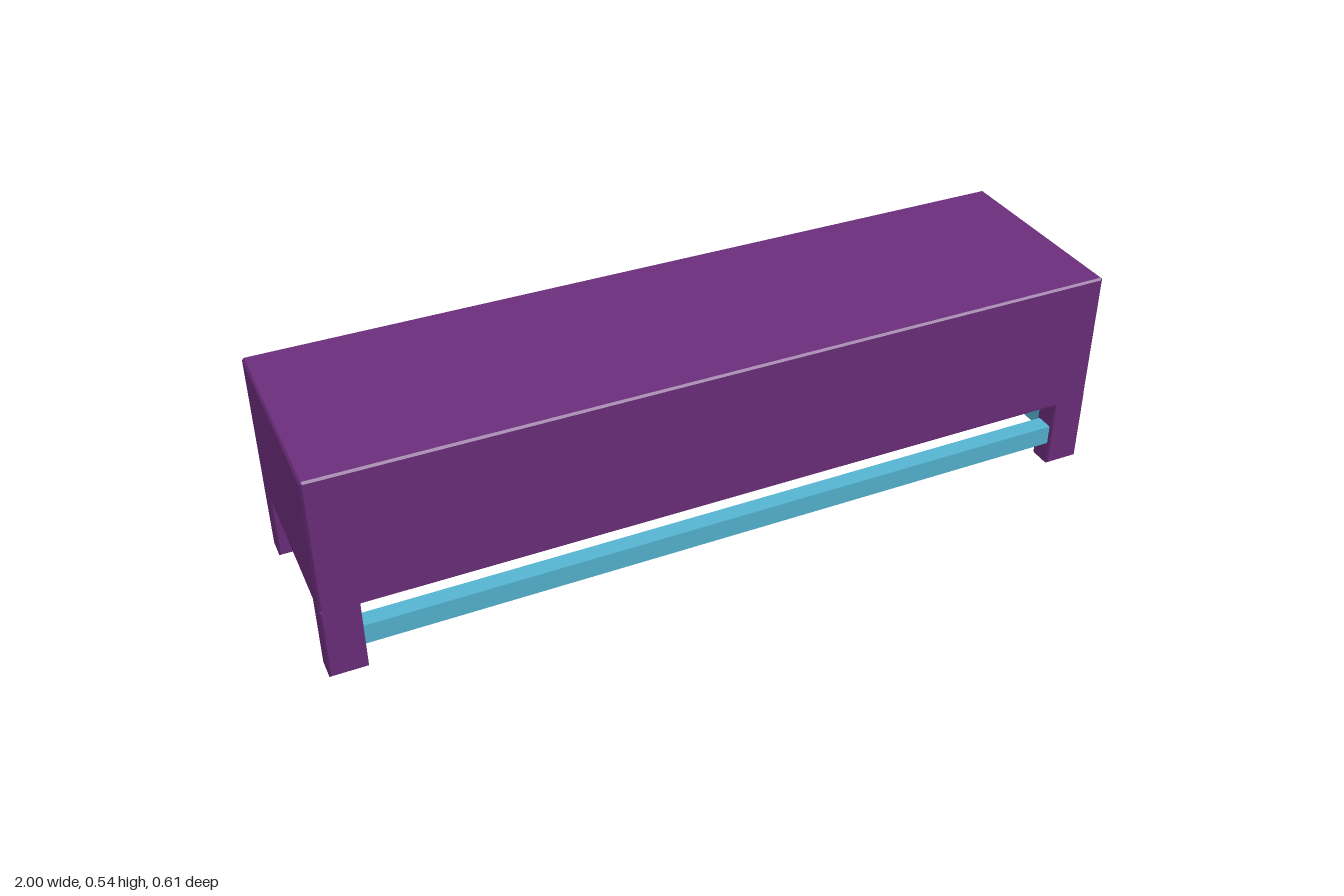
import * as THREE from 'three';

const mat = (color) => new THREE.MeshStandardMaterial({ color, flatShading: true });
const purple = mat(0x6b2d7b);
const magenta = mat(0x933094);
const brown = mat(0x7d3a36);
const blue = mat(0x55b4d2);
const grey = new THREE.MeshStandardMaterial({ color: 0x8c8c8c });

// Rectangle outline with its corners cut by c
function rect(x0, x1, y0, y1, c = 0, Type = THREE.Shape) {
  const s = new Type();
  s.moveTo(x0 + c, y0);
  s.lineTo(x1 - c, y0);
  if (c) s.lineTo(x1, y0 + c);
  s.lineTo(x1, y1 - c);
  if (c) s.lineTo(x1 - c, y1);
  s.lineTo(x0 + c, y1);
  if (c) s.lineTo(x0, y1 - c);
  s.lineTo(x0, y0 + c);
  s.closePath();
  return s;
}

// Chamfered slab, shape in xy, running from z0 to z1
function slab(shape, z0, z1, b) {
  const g = new THREE.ExtrudeGeometry(shape, {
    depth: z1 - z0 - 2 * b, bevelEnabled: true, bevelSegments: 1,
    bevelSize: b, bevelThickness: b, bevelOffset: -b,
  });
  return g.translate(0, 0, z0 + b);
}

export function createModel() {
  const root = new THREE.Group();
  const add = (name, geo, material, parent = root) => {
    const m = new THREE.Mesh(geo, material);
    m.name = name;
    parent.add(m);
    return m;
  };
  const box = (name, x0, x1, y0, y1, z0, z1, material) => add(name,
    new THREE.BoxGeometry(x1 - x0, y1 - y0, z1 - z0)
      .translate((x0 + x1) / 2, (y0 + y1) / 2, (z0 + z1) / 2), material);

  // Cabinet body with the cubby opening, closed by a panel on the far side
  const outline = rect(-1, 1, 0.18, 0.535, 0.005);
  outline.holes.push(rect(-0.49, 0.45, 0.345, 0.505, 0, THREE.Path));
  add('cabinetBody', slab(outline, -0.225, 0.285, 0.005), purple);
  add('closedPanel', slab(rect(-1, 1, 0.18, 0.535, 0.005), 0.265, 0.305, 0.005), purple);

  // Cubby lining
  box('cubbyFloor', -0.49, 0.45, 0.34, 0.36, -0.22, 0.27, brown);
  box('cubbySideRight', -0.495, -0.478, 0.345, 0.505, -0.22, 0.27, brown);
  box('cubbySideLeft', 0.438, 0.455, 0.345, 0.505, -0.22, 0.27, brown);
  box('cubbyDivider', -0.035, -0.01, 0.345, 0.505, -0.222, 0.27, brown);

  // Legs and the stretchers between them
  for (const s of [-1, 1]) {
    for (const [z0, z1] of [[-0.225, -0.163], [0.243, 0.305]]) {
      const leg = rect(s < 0 ? -1 : 0.91, s < 0 ? -0.91 : 1, 0, 0.19);
      add('leg', slab(leg, z0, z1, 0.004), purple);
    }
    box('sideStretcher', s * 0.955 - 0.022, s * 0.955 + 0.022, 0.06, 0.112, -0.17, 0.25, blue);
  }
  for (const z of [-0.194, 0.274]) {
    box('longStretcher', -0.92, 0.92, 0.06, 0.112, z - 0.022, z + 0.022, blue);
  }

  // Drawers: x range, top edge, handle height
  const drawers = [
    [-0.94, -0.487, 0.5, 0.42], [-0.482, -0.028, 0.36, 0.303],
    [-0.015, 0.44, 0.36, 0.303], [0.452, 0.905, 0.5, 0.42],
  ];
  for (const [x0, x1, top, hy] of drawers) {
    const drawer = new THREE.Group();
    drawer.name = 'drawer';
    root.add(drawer);
    add('drawerFront', slab(rect(x0, x1, 0.22, top, 0.004), -0.257, -0.226, 0.006), magenta, drawer);
    const handle = add('handle', new THREE.TorusGeometry(0.044, 0.011, 10, 24, Math.PI), grey, drawer);
    handle.rotation.x = -Math.PI / 2;
    handle.position.set((x0 + x1) / 2 + (hy > 0.4 ? 0.005 : 0), hy, -0.25);
  }
  return root;
}
